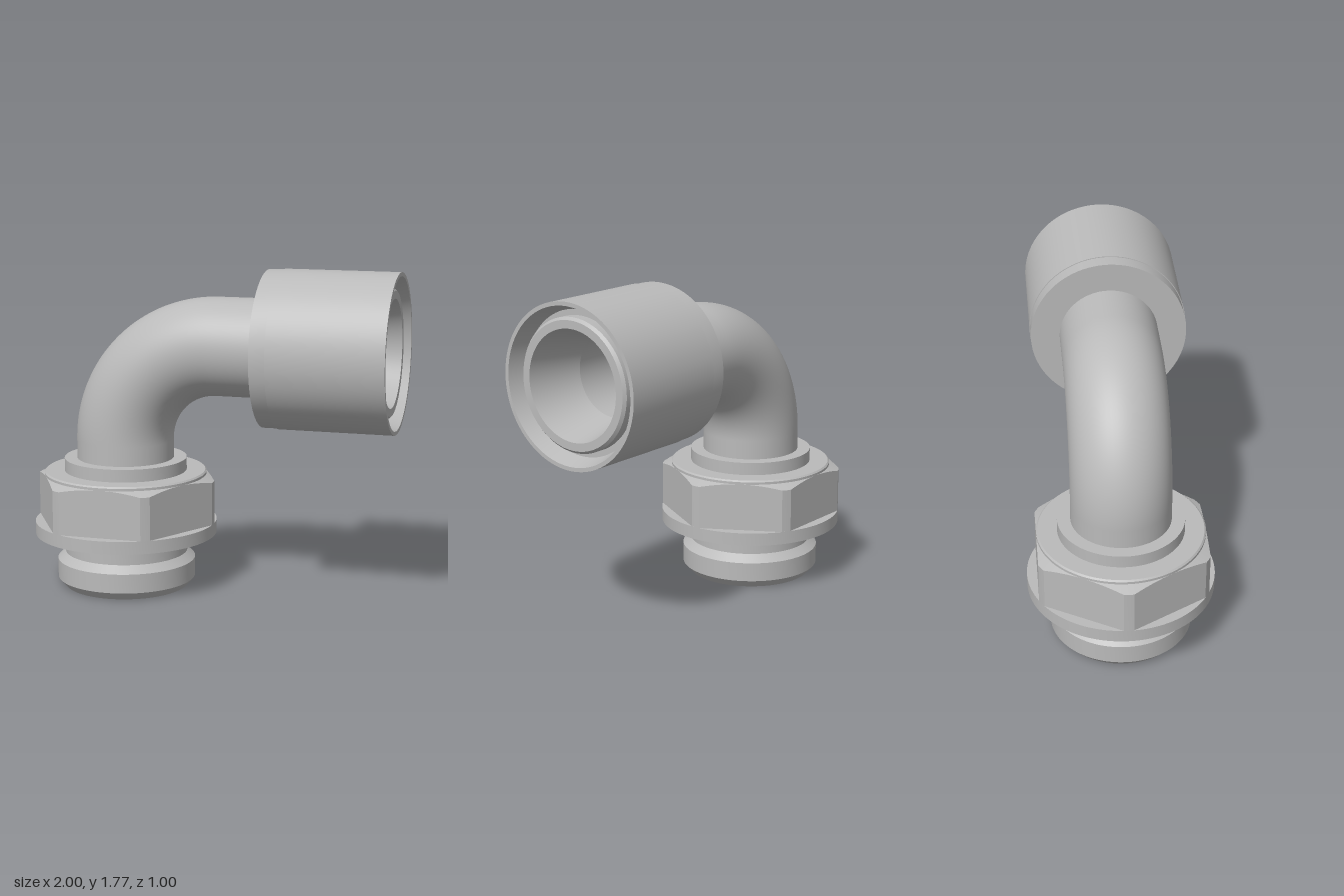
import * as THREE from 'three';
import { toCreasedNormals } from 'three/addons/utils/BufferGeometryUtils.js';

const STEM_X = -0.5;   // axis of the vertical end
const ARM_Y = 1.348;   // axis of the horizontal end
const BEND = 0.53;     // centre-line radius of the elbow

const metal = new THREE.MeshStandardMaterial({ color: 0xbababa, side: THREE.DoubleSide });
metal.name = 'grey metal';

function add(parent, name, geometry) {
  const mesh = new THREE.Mesh(geometry, metal);
  mesh.name = name;
  parent.add(mesh);
  return mesh;
}

// Turned part from [radius, height] pairs, with crisp edges
function turned(profile, segments = 96) {
  const points = profile.map(([r, y]) => new THREE.Vector2(r, y));
  return toCreasedNormals(new THREE.LatheGeometry(points, segments), 0.3);
}

// Centre line: up the stem, round the elbow, out along the arm
function elbowPath(startY, endX) {
  const y = ARM_Y - BEND, x = STEM_X + BEND;
  const k = BEND * 0.5523;
  const v = (a, b) => new THREE.Vector3(a, b, 0);
  const path = new THREE.CurvePath();
  path.add(new THREE.LineCurve3(v(STEM_X, startY), v(STEM_X, y)));
  path.add(new THREE.CubicBezierCurve3(v(STEM_X, y), v(STEM_X, y + k), v(x - k, ARM_Y), v(x, ARM_Y)));
  path.add(new THREE.LineCurve3(v(x, ARM_Y), v(endX, ARM_Y)));
  return path;
}

// Hexagon with corners rounded to a circle and a conical top chamfer
function hexNut() {
  const apothem = 0.445, corner = 0.5;
  const points = [[corner, 0.36], [corner, 0.6], [apothem, 0.625]].map(([r, y]) => new THREE.Vector2(r, y));
  const geometry = new THREE.LatheGeometry(points, 120);
  const p = geometry.attributes.position;
  for (let i = 0; i < p.count; i++) {
    const x = p.getX(i), z = p.getZ(i), y = p.getY(i);
    if (Math.hypot(x, z) < corner - 0.01) continue;
    const angle = Math.atan2(x, z), step = Math.PI / 3;
    const offset = angle - Math.round(angle / step) * step;
    const r = Math.min(corner, apothem / Math.cos(offset));
    const top = 0.625 - (r - apothem) * 0.45;
    p.setXYZ(i, r * Math.sin(angle), y > 0.5 ? top : y, r * Math.cos(angle));
  }
  return toCreasedNormals(geometry, 0.25);
}

export function createModel() {
  const model = new THREE.Group();
  model.name = 'elbowFitting';

  // Vertical end
  const stem = new THREE.Group();
  stem.name = 'stem';
  stem.position.x = STEM_X;
  model.add(stem);

  // Plug with tapered mouth, groove and undercut
  add(stem, 'plug', turned([
    [0.22, 0.38], [0.3, 0], [0.34, 0], [0.38, 0.045], [0.38, 0.15],
    [0.337, 0.19], [0.337, 0.27], [0.342, 0.285], [0.352, 0.296],
  ]));
  add(stem, 'flange', turned([[0.33, 0.295], [0.5, 0.295], [0.5, 0.365], [0.43, 0.365]], 120));
  add(stem, 'hexNut', hexNut());
  add(stem, 'nutCap', turned([
    [0.438, 0.618], [0.445, 0.623], [0.445, 0.638], [0.437, 0.646], [0.33, 0.646],
  ]));
  add(stem, 'collar', turned([[0.335, 0.64], [0.335, 0.715], [0.25, 0.715]]));

  // Bent pipe and its bore
  add(model, 'bentPipe', new THREE.TubeGeometry(elbowPath(0.7, 0.32), 96, 0.265, 64));
  add(model, 'bore', new THREE.TubeGeometry(elbowPath(0.375, 0.67), 96, 0.22, 64));

  // Horizontal end, turned about the arm axis
  const arm = new THREE.Group();
  arm.name = 'arm';
  arm.position.y = ARM_Y;
  arm.rotation.z = -Math.PI / 2;
  model.add(arm);

  add(arm, 'sleeve', turned([
    [0.26, 0.3], [0.42, 0.3], [0.42, 0.385], [0.424, 0.385], [0.424, 1],
    [0.403, 1], [0.372, 0.9], [0.335, 0.9],
  ]));
  // Inner nozzle with a chamfered lip and tapered mouth
  add(arm, 'nozzle', turned([
    [0.342, 0.89], [0.342, 0.955], [0.328, 0.97], [0.286, 0.97], [0.22, 0.665],
  ]));

  return model;
}
